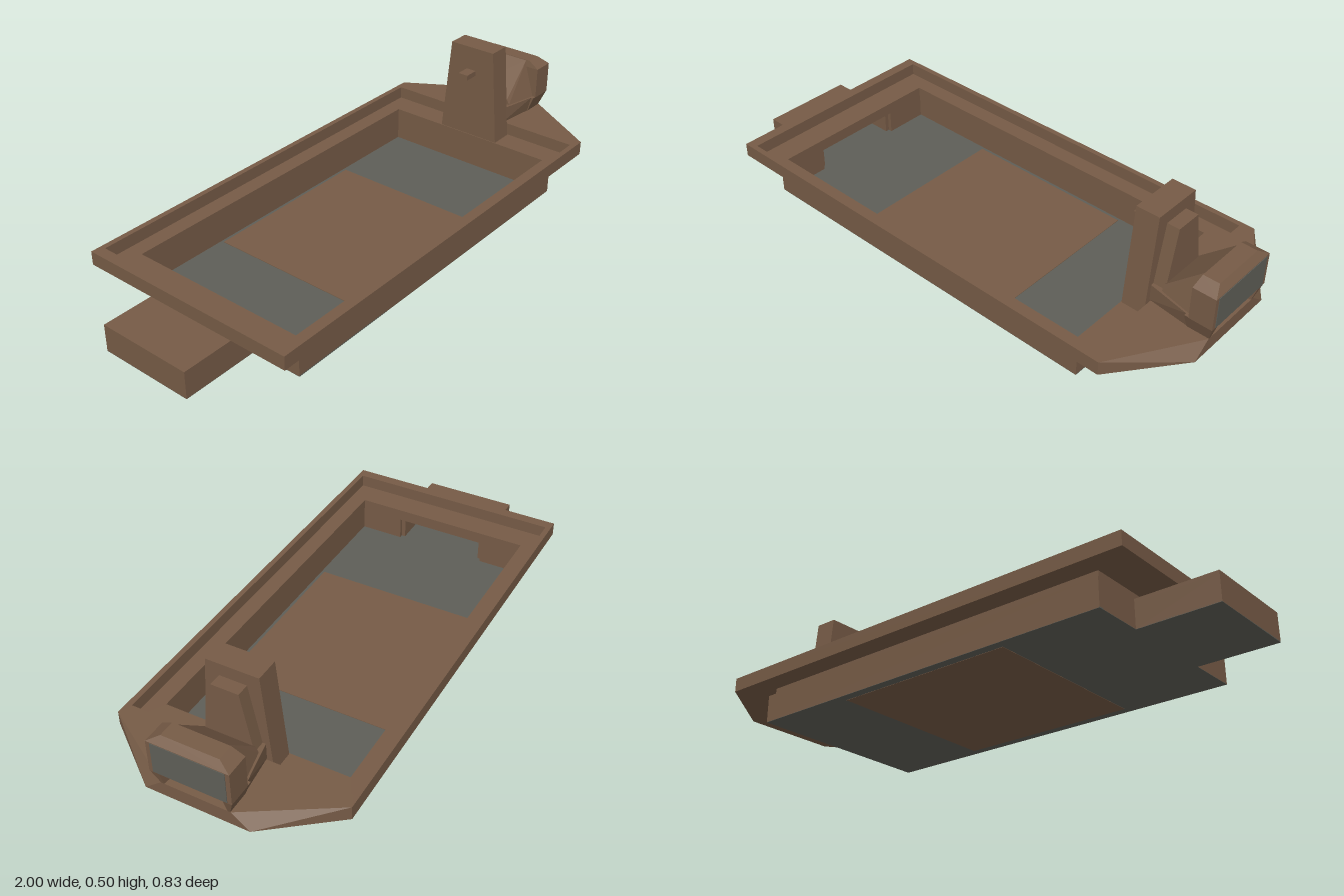
import * as THREE from 'three';
import { ConvexGeometry } from 'three/addons/geometries/ConvexGeometry.js';

export function createModel() {
  const model = new THREE.Group();
  const brown = new THREE.MeshStandardMaterial({ color: 0x765b46 });
  brown.name = 'brown';
  const grey = new THREE.MeshStandardMaterial({ color: 0x5e5e57 });
  grey.name = 'grey';

  const add = (name, geometry, parent = model, material = brown) => {
    const mesh = new THREE.Mesh(geometry, material);
    mesh.name = name;
    parent.add(mesh);
    return mesh;
  };
  const group = (name) => {
    const g = new THREE.Group();
    g.name = name;
    model.add(g);
    return g;
  };
  // Box given by its limits on each axis
  const box = (name, parent, x0, x1, y0, y1, z0, z1, material = brown) => {
    const geometry = new THREE.BoxGeometry(x1 - x0, y1 - y0, z1 - z0);
    geometry.translate((x0 + x1) / 2, (y0 + y1) / 2, (z0 + z1) / 2);
    return add(name, geometry, parent, material);
  };
  // Convex solid mirrored in z, from [x, y, halfWidth] points
  const solid = (name, parent, points, material = brown) => {
    const corners = points.flatMap(([x, y, z]) =>
      [new THREE.Vector3(x, y, z), new THREE.Vector3(x, y, -z)]);
    return add(name, new ConvexGeometry(corners), parent, material);
  };
  // Rectangular frame lying flat, with a rectangular opening
  const frame = (name, parent, [x0, x1, z], [i0, i1, iz], y0, y1) => {
    const rect = (shape, a, b, h) => shape.moveTo(a, -h).lineTo(b, -h).lineTo(b, h).lineTo(a, h).closePath();
    const shape = rect(new THREE.Shape(), x0, x1, z);
    shape.holes.push(rect(new THREE.Path(), i0, i1, iz));
    const geometry = new THREE.ExtrudeGeometry(shape, { depth: y1 - y0, bevelEnabled: false });
    geometry.rotateX(-Math.PI / 2).translate(0, y0, 0);
    return add(name, geometry, parent);
  };

  // Lower hull: side and end walls, with a passage into the tail
  const hull = group('hull');
  for (const s of [-1, 1]) {
    const span = (a, b) => (s > 0 ? [a, b] : [-b, -a]);
    box('sideWall', hull, -0.72, 0.68, 0.002, 0.1, ...span(0.34, 0.36));
    box('rearWall', hull, -0.72, -0.705, 0.002, 0.1, ...span(0.175, 0.34));
    box('tailSide', hull, -1, -0.72, 0.002, 0.09, ...span(0.16, 0.175));
  }
  box('frontWall', hull, 0.665, 0.68, 0.002, 0.1, -0.34, 0.34);
  box('tailCover', hull, -1, -0.705, 0.09, 0.1, -0.175, 0.175);
  box('tailEnd', hull, -1, -0.985, 0.002, 0.09, -0.16, 0.16);

  // Floor plates
  box('floor', hull, -0.72, 0.68, 0.001, 0.005, -0.36, 0.36, grey);
  box('tailFloor', hull, -1, -0.72, 0.001, 0.005, -0.175, 0.175, grey);
  box('floorPanel', hull, -0.35, 0.315, 0, 0.007, -0.328, 0.328);

  // Neck, ledge and raised rim
  const rim = group('rim');
  frame('neck', rim, [-0.709, 0.666, 0.341], [-0.705, 0.662, 0.337], 0.098, 0.132);
  frame('ledge', rim, [-0.839, 0.8, 0.416], [-0.705, 0.662, 0.337], 0.13, 0.134);
  frame('rimWall', rim, [-0.84, 0.8, 0.417], [-0.8, 0.755, 0.397], 0.13, 0.18);

  // Tapered prow
  solid('prow', rim, [[0.8, 0.13, 0.417], [0.8, 0.18, 0.417], [0.98, 0.13, 0.183], [0.98, 0.18, 0.122]]);

  // Mast with its front brace and rear peg
  const mast = group('mast');
  solid('post', mast, [
    [0.665, 0.133, 0.125], [0.75, 0.133, 0.125], [0.665, 0.495, 0.092], [0.75, 0.495, 0.092],
  ]);
  solid('brace', mast, [
    [0.75, 0.18, 0.1], [0.795, 0.18, 0.1], [0.75, 0.45, 0.048], [0.795, 0.45, 0.048],
  ]);
  box('peg', mast, 0.61, 0.67, 0.385, 0.405, -0.02, 0.02);

  // Head: sloping base, undercut front, cheeks, ramp and hood
  const head = group('head');
  solid('base', head, [
    [0.75, 0.18, 0.1], [0.75, 0.24, 0.1], [0.95, 0.18, 0.11], [0.95, 0.19, 0.11],
    [0.995, 0.24, 0.112], [0.9, 0.24, 0.132], [0.9, 0.18, 0.118],
  ]);
  for (const s of [-1, 1]) {
    const points = [[0.9, 0.18, 0.1], [0.98, 0.18, 0.11], [0.9, 0.24, 0.1], [0.998, 0.24, 0.11],
      [0.9, 0.18, 0.12], [0.98, 0.18, 0.12], [0.9, 0.24, 0.142], [0.998, 0.24, 0.142]];
    add('cheek', new ConvexGeometry(points.map(([x, y, z]) => new THREE.Vector3(x, y, z * s))), head);
  }
  solid('ramp', head, [
    [0.79, 0.24, 0.1], [0.79, 0.26, 0.09], [0.87, 0.285, 0.09], [0.87, 0.24, 0.115],
    [0.92, 0.38, 0.085], [0.92, 0.24, 0.13],
  ]);
  solid('hood', head, [
    [0.915, 0.238, 0.142], [0.915, 0.357, 0.142], [0.92, 0.382, 0.1],
    [0.998, 0.238, 0.142], [0.998, 0.357, 0.142], [0.978, 0.382, 0.1],
  ]);
  box('window', head, 0.994, 1, 0.241, 0.355, -0.127, 0.127, grey);

  return model;
}
